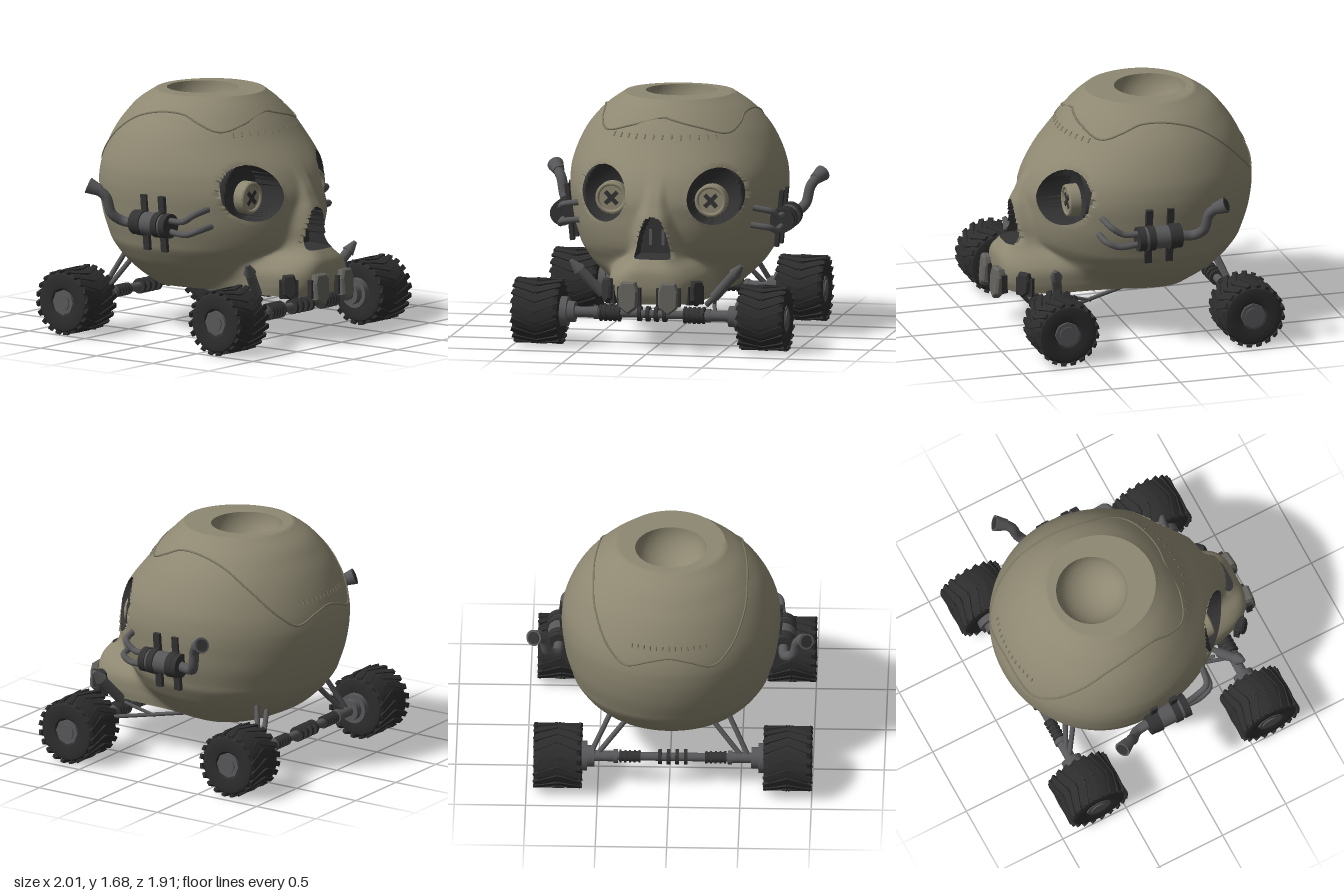
import * as THREE from 'three';
import { toCreasedNormals, mergeGeometries } from 'three/addons/utils/BufferGeometryUtils.js';

const mat = (name, color) => Object.assign(new THREE.MeshStandardMaterial({ color }), { name });
const bone = mat('bone', 0x8e8872);
const seam = mat('seam bone', 0x7d7864);
const dark = mat('dark metal', 0x333333);
const rubber = mat('rubber', 0x2d2d2e);
const steel = mat('steel', 0x58585a);
const toothGrey = mat('tooth grey', 0x64635e);

const V = (x, y, z) => new THREE.Vector3(x, y, z);

function add(parent, name, geo, material, pos = [0, 0, 0], rot = [0, 0, 0]) {
  const m = new THREE.Mesh(geo, material);
  m.name = name;
  m.position.set(...pos);
  m.rotation.set(...rot);
  parent.add(m);
  return m;
}

// Straight cylinder between two points
function rod(parent, name, a, b, r, material, r2 = r) {
  const d = b.clone().sub(a);
  const m = add(parent, name, new THREE.CylinderGeometry(r2, r, d.length(), 14), material);
  m.position.copy(a).addScaledVector(d, 0.5);
  m.quaternion.setFromUnitVectors(V(0, 1, 0), d.normalize());
}

function pipe(parent, name, pts, r, material) {
  const curve = new THREE.CatmullRomCurve3(pts.map(p => V(...p)));
  add(parent, name, new THREE.TubeGeometry(curve, 28, r, 12), material);
}

// Skull levels: y, half width, back z, cranium front z, muzzle half width, muzzle front z
const LEVELS = [
  [0.33, 0.42, -0.50, 0.40, 0.36, 0.86], [0.40, 0.50, -0.64, 0.47, 0.37, 0.89],
  [0.50, 0.60, -0.76, 0.55, 0.36, 0.90], [0.57, 0.65, -0.82, 0.59, 0.30, 0.89],
  [0.63, 0.685, -0.86, 0.63, 0.22, 0.85], [0.68, 0.70, -0.88, 0.66, 0.19, 0.81],
  [0.80, 0.735, -0.92, 0.69, 0.17, 0.79], [0.93, 0.755, -0.945, 0.70, 0.13, 0.76],
  [1.00, 0.763, -0.95, 0.70, 0.10, 0.71], [1.08, 0.765, -0.948, 0.68, 0.08, 0.65],
  [1.20, 0.75, -0.92, 0.62, 0.08, 0.50], [1.40, 0.67, -0.83, 0.46, 0.08, 0.30],
  [1.50, 0.60, -0.76, 0.385, 0.08, 0.20], [1.60, 0.50, -0.67, 0.30, 0.08, 0.10],
  [1.68, 0.385, -0.55, 0.22, 0.08, 0.0]];
const levels = new THREE.CubicInterpolant(LEVELS.map(l => l[0]), LEVELS.flatMap(l => l.slice(1)), 5);
const ZC = -0.2, TOP = 1.68, BOTTOM = 0.33;

// Point on the skull at height y and angle u (0 = front, towards +x)
function skullPoint(y, u) {
  const [w, back, front, m, zf] = levels.evaluate(y);
  const c = Math.cos(u);
  let x = w * Math.sin(u), dz = c * (c > 0 ? front - ZC : ZC - back);
  if (c > 0) { // blend the boxy muzzle into the round cranium
    const q = ((Math.abs(x) / m) ** 4 + (dz / (zf - ZC)) ** 4) ** -0.25;
    const s = (1 + q ** 16) ** (1 / 16);
    x *= s; dz *= s;
  }
  return V(x, y, ZC + dz);
}

// Press eye sockets and nose hole into the face; returns true inside a hole
function carve(p) {
  if (p.z < 0.25) return false;
  const side = Math.sign(p.x) || 1;
  const ex = p.x - side * 0.4, ey = p.y - 1.055;
  const d = Math.hypot(ex / 0.18, ey / 0.195);
  if (d < 1) { p.z = Math.min(p.z, 0.35 + 0.07 * d * d); return true; }
  if (d < 1.09) { p.x = side * 0.4 + ex / d; p.y = 1.055 + ey / d; }
  const t = (p.y - 0.65) / 0.275;
  if (t > 0 && t < 1) {
    const hw = 0.13 * (1 - t) ** 0.35, n = Math.abs(p.x) / hw;
    if (n < 1) { p.z = 0.62; return true; }
    if (n < 1.12) p.x = side * hw;
  }
  return false;
}

function buildSkull(group) {
  const N = 200, rows = [];
  for (let j = 0; j <= 6; j++) // flat underside
    rows.push(u => skullPoint(BOTTOM, u).multiply(V(j / 6, 1, j / 6)));
  for (let j = 1; j <= 116; j++)
    rows.push(u => skullPoint(BOTTOM + (TOP - BOTTOM) * j / 116, u));
  for (let j = 1; j <= 5; j++) // flat crown down to the crater rim
    rows.push(u => skullPoint(TOP, u).lerp(V(0.25 * Math.sin(u), TOP, -0.24 + 0.25 * Math.cos(u)), j / 5));
  for (let j = 1; j <= 14; j++) { // crater bowl
    const a = j / 14 * Math.PI / 2, r = 0.25 * Math.cos(a);
    rows.push(u => V(r * Math.sin(u), TOP - 0.23 * Math.sin(a), -0.24 + r * Math.cos(u)));
  }
  const pos = [], hole = [], outer = [], inner = [];
  rows.forEach((row, j) => {
    for (let i = 0; i < N; i++) {
      const t = i / N * Math.PI * 2;
      const p = row(t - 0.5 * Math.sin(t)); // denser at the face
      hole.push(carve(p));
      pos.push(p.x, p.y, p.z);
    }
    if (!j) return;
    for (let i = 0; i < N; i++) {
      const a = (j - 1) * N + i, b = (j - 1) * N + (i + 1) % N, c = a + N, d = b + N;
      for (const tri of [[a, b, c], [b, d, c]])
        (tri.some(k => hole[k]) ? inner : outer).push(...tri);
    }
  });
  for (const [name, index, material] of [['skull', outer, bone], ['socketsAndNoseHole', inner, dark]]) {
    const g = new THREE.BufferGeometry();
    g.setAttribute('position', new THREE.Float32BufferAttribute(pos, 3));
    g.setIndex(index);
    add(group, name, toCreasedNormals(g, 0.6), material);
  }

  // Raised seam around the crown, and short stitches beside it
  const half = [[1.57, 0], [1.51, 0.42], [1.465, 0.75], [1.52, 1.0], [1.57, 1.2], [1.575, 1.6],
    [1.51, 2.0], [1.38, 2.28], [1.2, 2.55], [1.12, 2.72], [1.17, 2.95], [1.2, Math.PI]];
  const loop = [...half, ...half.slice(1, -1).reverse().map(([y, u]) => [y, 2 * Math.PI - u])];
  const path = new THREE.CatmullRomCurve3(loop.map(([y, u]) => V(u, y, 0)));
  const seamPts = path.getPoints(160).map(p => skullPoint(p.y, p.x));
  add(group, 'crownSeam', new THREE.TubeGeometry(new THREE.CatmullRomCurve3(seamPts, true), 320, 0.008, 6, true), seam);
  for (let k = -6; k <= 6; k++)
    for (const [y, u] of [[1.43, k * 0.1], [1.25, Math.PI + k * 0.06]])
      rod(group, 'stitch', skullPoint(y, u), skullPoint(y + 0.03, u), 0.006, seam);
}

function buildFace(group) {
  for (const s of [-1, 1]) {
    // Button eyes with a dark cross
    const eye = new THREE.Group();
    eye.name = 'buttonEye';
    eye.position.set(s * 0.355, 1.015, 0.44);
    group.add(eye);
    add(eye, 'button', new THREE.CylinderGeometry(0.115, 0.115, 0.07, 32), bone, [0, 0, 0], [Math.PI / 2, 0, 0]);
    add(eye, 'buttonRim', new THREE.TorusGeometry(0.1, 0.014, 8, 32), bone, [0, 0, 0.035]);
    for (const a of [-1, 1])
      add(eye, 'cross', new THREE.BoxGeometry(0.12, 0.03, 0.008), dark, [0, 0, 0.037], [0, 0, a * Math.PI / 4]);
    add(group, 'nostrilStreak', new THREE.BoxGeometry(0.022, 0.11, 0.008), steel, [s * 0.045, 0.77, 0.624]);

    // Teeth in dark gums
    for (const [x, z, w, tip, turn, m] of [[0.14, 0.915, 0.12, 0.28, 0.1, toothGrey], [0.3, 0.78, 0.08, 0.33, 0.75, dark]]) {
      const h = 0.48 - tip;
      const shape = new THREE.Shape([[-0.35, 0], [-0.5, -0.25], [-0.45, -0.8], [0, -1], [0.45, -0.8], [0.5, -0.25], [0.35, 0]]
        .map(([a, b]) => new THREE.Vector2(a * w, b * h)));
      const geo = new THREE.ExtrudeGeometry(shape, { depth: 0.035, bevelSize: 0.012, bevelThickness: 0.015, bevelSegments: 1 });
      add(group, 'tooth', geo, m, [s * x, 0.48, z - 0.02], [-0.08, s * turn, 0]);
      add(group, 'gum', new THREE.BoxGeometry(w + 0.05, 0.13, 0.04), dark, [s * x, 0.39, z - 0.015], [0, s * turn, 0]);
    }
  }
}

function buildWheel(parent, x, z) {
  const wheel = new THREE.Group();
  wheel.name = 'wheel';
  wheel.position.set(x, 0.229, z);
  parent.add(wheel);
  const half = [[0.08, 0.13], [0.1, 0.155], [0.165, 0.168], [0.2, 0.16], [0.219, 0.135]];
  const profile = [...half.map(([r, h]) => [r, -h]), ...half.slice().reverse()].map(p => new THREE.Vector2(...p));
  add(wheel, 'tyre', toCreasedNormals(new THREE.LatheGeometry(profile, 40).rotateZ(Math.PI / 2), 0.6), rubber);
  // Chevron tread
  const lugs = [];
  for (let k = 0; k < 20; k++)
    for (const s of [-1, 1])
      lugs.push(new THREE.BoxGeometry(0.178, 0.02, 0.036).rotateY(s * 0.38)
        .translate(s * 0.082, 0.217, 0).rotateX(k / 20 * Math.PI * 2));
  add(wheel, 'tread', mergeGeometries(lugs), rubber);
  const side = [0, 0, Math.PI / 2];
  add(wheel, 'hub', new THREE.CylinderGeometry(0.09, 0.09, 0.31, 8), steel, [0, 0, 0], side);
  add(wheel, 'hubCap', new THREE.CylinderGeometry(0.058, 0.058, 0.328, 20), steel, [0, 0, 0], side);
  const s = Math.sign(x);
  add(wheel, 'brakeDrum', new THREE.CylinderGeometry(0.105, 0.105, 0.05, 24), steel, [-s * 0.18, 0, 0], side);
  add(wheel, 'hubCarrier', new THREE.CylinderGeometry(0.075, 0.075, 0.06, 20), steel, [-s * 0.225, 0, 0], side);
}

function buildAxle(group, z, front) {
  const axle = new THREE.Group();
  axle.name = front ? 'frontAxle' : 'rearAxle';
  group.add(axle);
  const cx = -0.025, y = 0.229;
  const disc = (name, x, r, len, m) =>
    add(axle, name, new THREE.CylinderGeometry(r, r, len, 20), m, [cx + x, y, z], [0, 0, Math.PI / 2]);
  disc('shaft', 0, 0.03, 1.2, steel);
  for (const s of [-1, 1]) {
    buildWheel(axle, cx + s * 0.805, z);
    disc('shaftSleeve', s * 0.48, 0.038, 0.16, steel);
    disc('collar', s * 0.4, 0.048, 0.03, steel);
    const r = front ? 0.052 : 0.036;
    disc('gaiter', s * 0.3, r, 0.15, dark);
    for (let k = -2; k <= 2; k++) disc('gaiterRib', s * 0.3 + k * 0.033, r + 0.008, 0.014, dark);
    for (const x of [0.03, 0.09]) disc('jointDisc', s * x, 0.054, 0.025, dark);
  }
}

function buildSuspension(group) {
  for (const s of [-1, 1]) {
    const p = (x, y, z) => V(s * x, y, z);
    rod(group, 'shockBody', p(0.4, 0.35, 0.56), p(0.56, 0.53, 0.62), 0.036, steel);
    rod(group, 'shockTip', p(0.555, 0.525, 0.618), p(0.61, 0.59, 0.64), 0.045, steel, 0.014);
    rod(group, 'shockRod', p(0.34, 0.29, 0.54), p(0.4, 0.35, 0.56), 0.02, steel);
    rod(group, 'lowerLink', p(0.42, 0.21, 0.62), p(0.25, 0.335, -0.1), 0.014, steel);
    rod(group, 'linkBrace', p(0.4, 0.33, 0.52), p(0.345, 0.255, 0.3), 0.012, steel);
    rod(group, 'rearStrut', p(0.55, 0.25, -0.71), p(0.41, 0.53, -0.6), 0.018, steel);
    rod(group, 'rearStrut', p(0.5, 0.25, -0.71), p(0.31, 0.47, -0.62), 0.018, steel);
  }
  add(group, 'bellyPlate', new THREE.BoxGeometry(0.64, 0.009, 0.7), dark, [0, 0.324, 0.25]);
}

function buildExhaust(group, s) {
  const ex = new THREE.Group();
  ex.name = s > 0 ? 'leftExhaust' : 'rightExhaust';
  group.add(ex);
  const drum = (name, r, z, len, m) =>
    add(ex, name, new THREE.CylinderGeometry(r, r, len, 24), m, [s * 0.785, 0.83, z], [Math.PI / 2, 0, 0]);
  drum('muffler', 0.08, -0.06, 0.3, steel);
  drum('mufflerFrontCap', 0.087, 0.07, 0.05, dark);
  drum('mufflerRearCap', 0.087, -0.2, 0.04, dark);
  for (const z of [0, -0.155]) {
    drum('strapBand', 0.09, z, 0.05, dark);
    add(ex, 'strap', new THREE.BoxGeometry(0.03, 0.4, 0.05), dark, [s * 0.748, 0.83, z], [0, 0, -s * 0.1]);
  }
  const on = pts => pts.map(([x, y, z]) => [s * x, y, z]);
  pipe(ex, 'tailPipe', on([[0.785, 0.83, -0.2], [0.8, 0.825, -0.31], [0.86, 0.88, -0.37], [0.89, 1.0, -0.4], [0.93, 1.06, -0.45]]), 0.036, steel);
  rod(ex, 'tailFlare', V(s * 0.915, 1.045, -0.43), V(s * 0.955, 1.08, -0.505), 0.04, steel, 0.058);
  rod(ex, 'tailOpening', V(s * 0.953, 1.078, -0.502), V(s * 0.957, 1.081, -0.508), 0.044, dark);
  pipe(ex, 'upperIntakePipe', on([[0.79, 0.87, 0.08], [0.77, 0.87, 0.19], [0.75, 0.92, 0.27], [0.62, 0.95, 0.3]]), 0.022, steel);
  pipe(ex, 'lowerIntakePipe', on([[0.78, 0.79, 0.08], [0.77, 0.78, 0.22], [0.74, 0.81, 0.3], [0.61, 0.83, 0.32]]), 0.022, steel);
}

export function createModel() {
  const model = new THREE.Group();
  model.name = 'skullBuggy';
  buildSkull(model);
  buildFace(model);
  buildAxle(model, 0.65, true);
  buildAxle(model, -0.71, false);
  buildSuspension(model);
  for (const s of [-1, 1]) buildExhaust(model, s);
  return model;
}
